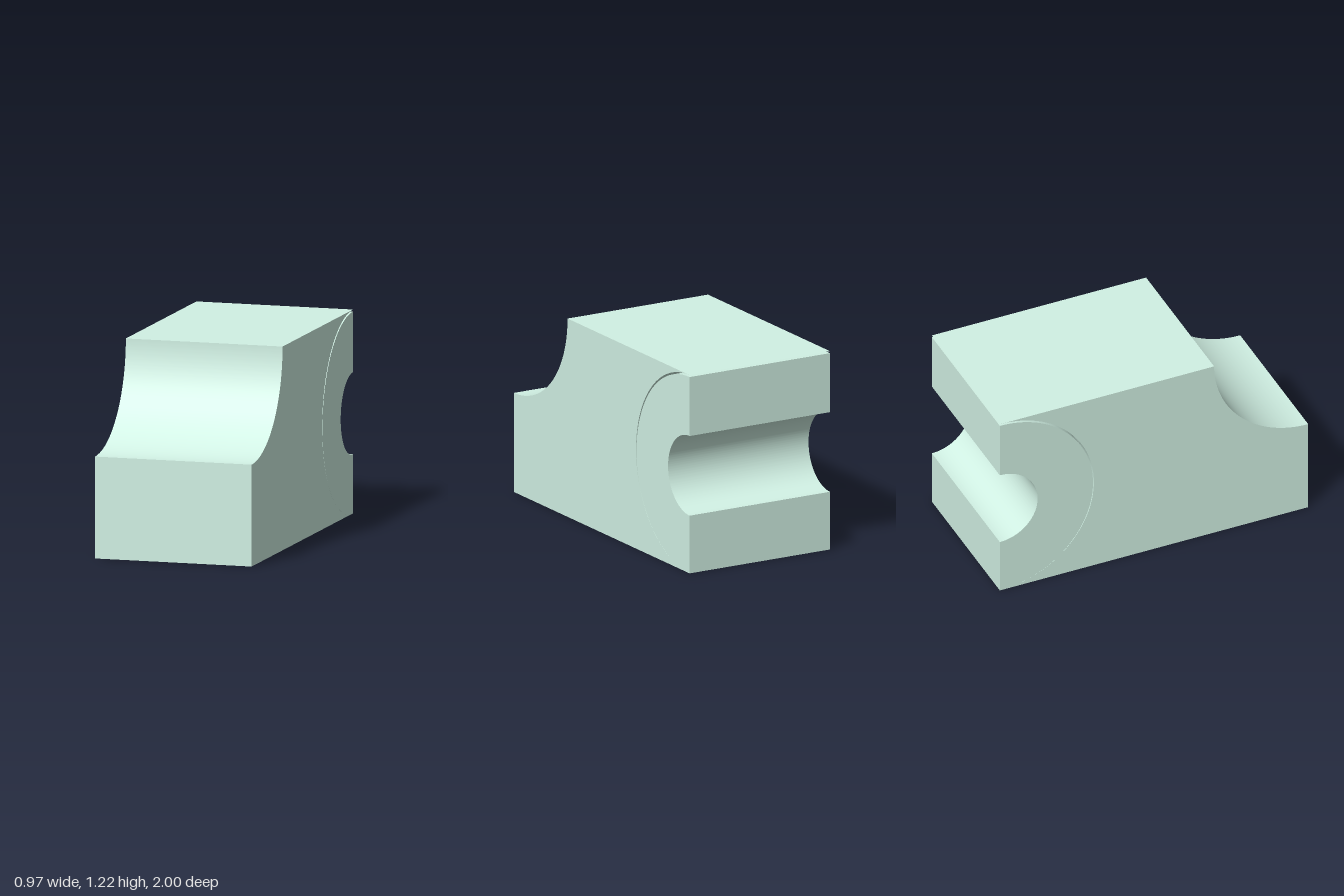
import * as THREE from 'three';
import { toCreasedNormals } from 'three/addons/utils/BufferGeometryUtils.js';

const WIDTH = 0.97;
const HEIGHT = 1.22;
const R = HEIGHT / 2; // radius of the front cove and the rear recess

const material = new THREE.MeshStandardMaterial({ color: 0xd1f1e4 });

// Extrudes a side profile (shape x = -z, shape y = y) across the width
function extrudeProfile(name, shape) {
  const geometry = new THREE.ExtrudeGeometry(shape, { depth: WIDTH, bevelEnabled: false, curveSegments: 64 });
  geometry.translate(0, 0, -WIDTH / 2);
  geometry.rotateY(Math.PI / 2);
  const mesh = new THREE.Mesh(toCreasedNormals(geometry, 0.5), material);
  mesh.name = name;
  return mesh;
}

export function createModel() {
  const group = new THREE.Group();
  group.name = 'covedBlock';

  // Main block: half-round recess at the rear, concave quarter-round at the front
  const block = new THREE.Shape();
  block.moveTo(-1, 0);
  block.lineTo(1, 0);
  block.absarc(1, R, R, -Math.PI / 2, Math.PI / 2, true);
  block.absarc(-1, HEIGHT, R, 0, -Math.PI / 2, true);
  block.closePath();
  group.add(extrudeProfile('block', block));

  // Half sleeve lying in the recess with a hairline gap above it
  const outer = 0.604, inner = 0.245;
  const sleeve = new THREE.Shape();
  sleeve.absarc(1, outer, outer, -Math.PI / 2, Math.PI / 2, true);
  sleeve.absarc(1, 0.6, inner, Math.PI / 2, Math.PI * 1.5, false);
  sleeve.closePath();
  group.add(extrudeProfile('halfSleeve', sleeve));

  return group;
}
